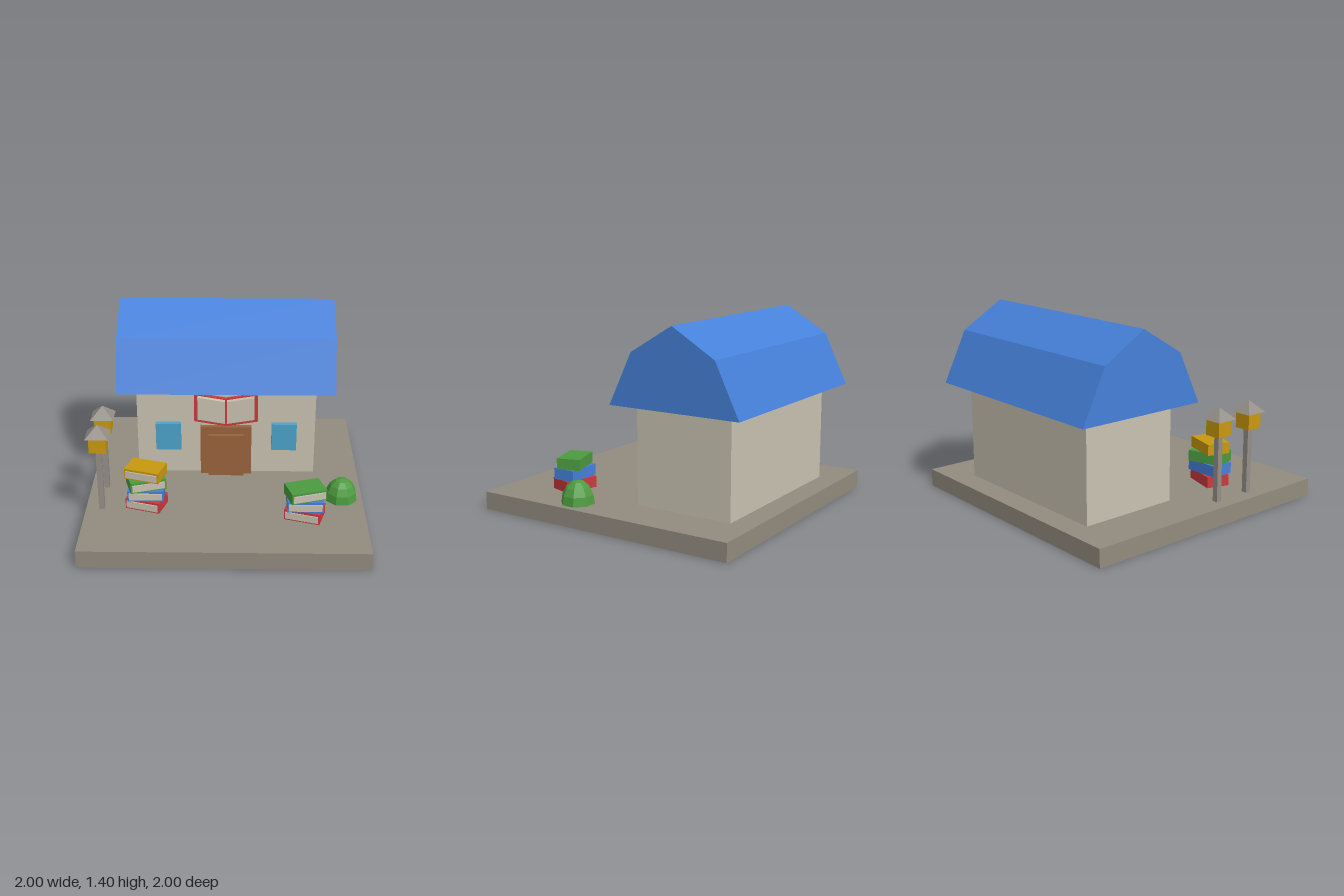
import * as THREE from 'three';

const mat = (name, color, extra = {}) => {
  const m = new THREE.MeshStandardMaterial({ color, ...extra });
  m.name = name;
  return m;
};

export function createModel() {
  const stone = mat('stone', 0x928b7e, { side: THREE.DoubleSide });
  const grey = mat('post grey', 0x948e87);
  const cream = mat('cream', 0xc9c2b1);
  const blue = mat('blue', 0x4680d9);
  const red = mat('red', 0xc93a3d);
  const green = mat('green', 0x4d9b40, { flatShading: true });
  const gold = mat('gold', 0xc8990f);
  const brown = mat('door brown', 0x99633d);
  const glass = mat('window blue', 0x4aa2ca);

  const model = new THREE.Group();
  model.name = 'bookshop';
  const GROUND = 0.13;

  const add = (parent, name, geometry, material, x = 0, y = 0, z = 0) => {
    const mesh = new THREE.Mesh(geometry, material);
    mesh.name = name;
    mesh.position.set(x, y, z);
    parent.add(mesh);
    return mesh;
  };
  // Box given by its centre in x and its limits in y and z
  const block = (parent, name, material, x, w, y0, y1, z0, z1) =>
    add(parent, name, new THREE.BoxGeometry(w, y1 - y0, z1 - z0), material, x, (y0 + y1) / 2, (z0 + z1) / 2);
  // Extruded outline
  const prism = (points, depth) => new THREE.ExtrudeGeometry(
    new THREE.Shape(points.map(([x, y]) => new THREE.Vector2(x, y))), { depth, bevelEnabled: false });

  // Base: a hollow slab, open underneath (bottom face left out)
  const slab = new THREE.BoxGeometry(2, GROUND, 2);
  const faces = Array.from(slab.index.array);
  faces.splice(18, 6);
  slab.setIndex(faces);
  slab.clearGroups();
  add(model, 'base', slab, stone, 0, GROUND / 2, 0);

  // House walls and gambrel roof
  block(model, 'walls', cream, 0, 1.334, GROUND, 0.845, -0.831, -0.098);
  const roof = prism([[-0.498, 0.838], [0.498, 0.838], [0.32, 1.207], [0, 1.4], [-0.32, 1.207]], 1.6);
  roof.translate(0, 0, -0.8).rotateY(Math.PI / 2);
  add(model, 'roof', roof, blue, 0, 0, -0.465);

  // Door and windows
  block(model, 'doorFrame', brown, -0.002, 0.383, GROUND, 0.527, -0.1, -0.06);
  block(model, 'doorPanel', brown, -0.002, 0.268, GROUND, 0.47, -0.061, -0.03);
  for (const side of [-1, 1])
    block(model, 'window', glass, side * 0.434, 0.188, 0.335, 0.551, -0.1, -0.06);

  // Open book sign above the door: mirrored slanted covers and pages
  const sign = new THREE.Group();
  sign.name = 'bookSign';
  model.add(sign);
  const slant = (side, x0, x1, low, high, depth) => {
    const rise = (x) => x * 0.17;
    const pts = [[x0, low + rise(x0)], [x1, low + rise(x1)], [x1, high + rise(x1)], [x0, high + rise(x0)]];
    return prism(pts.map(([x, y]) => [side * x, y]), depth);
  };
  for (const side of [-1, 1]) {
    add(sign, 'signCover', slant(side, 0, 0.234, 0.576, 0.797, 0.031), red, 0, 0, -0.014);
    add(sign, 'signPages', slant(side, 0.008, 0.208, 0.611, 0.789, 0.035), cream, 0, 0, 0.017);
  }

  // Stacks of books, each with a page block showing at the front
  const H = 0.081;
  const bookStack = (x, z, covers) => {
    const stack = new THREE.Group();
    stack.name = 'bookStack';
    stack.position.set(x, GROUND, z);
    model.add(stack);
    covers.forEach((cover, i) => {
      const book = new THREE.Group();
      book.name = 'book';
      book.position.y = H * (i + 0.5);
      book.rotation.y = [-0.3, 0, 0.3][i % 3];
      add(book, 'bookCover', new THREE.BoxGeometry(0.257, H, 0.173), cover);
      add(book, 'bookPages', new THREE.BoxGeometry(0.236, 0.052, 0.009), cream, 0, -0.002, 0.09);
      stack.add(book);
    });
  };
  bookStack(-0.566, 0.402, [red, blue, green, gold]);
  bookStack(0.566, 0.533, [red, blue, green]);

  // Lamp posts with pyramid caps
  for (const z of [0.147, 0.443]) {
    const lamp = new THREE.Group();
    lamp.name = 'lampPost';
    lamp.position.set(-0.886, 0, z);
    model.add(lamp);
    block(lamp, 'post', grey, 0, 0.04, GROUND, 0.605, -0.02, 0.02);
    block(lamp, 'lantern', gold, 0, 0.12, 0.605, 0.722, -0.06, 0.06);
    const cap = new THREE.ConeGeometry(0.116, 0.082, 4).toNonIndexed();
    cap.rotateY(Math.PI / 4);
    cap.computeVertexNormals();
    add(lamp, 'lampCap', cap, grey, 0, 0.761, 0);
  }

  // Faceted half-dome bush
  const dome = new THREE.SphereGeometry(0.12, 8, 4, 0, Math.PI * 2, 0, Math.PI / 2);
  dome.rotateY(Math.PI / 8).scale(1, 0.163 / 0.12, 1);
  add(model, 'bush', dome, green, 0.846, GROUND, 0.281);

  return model;
}
